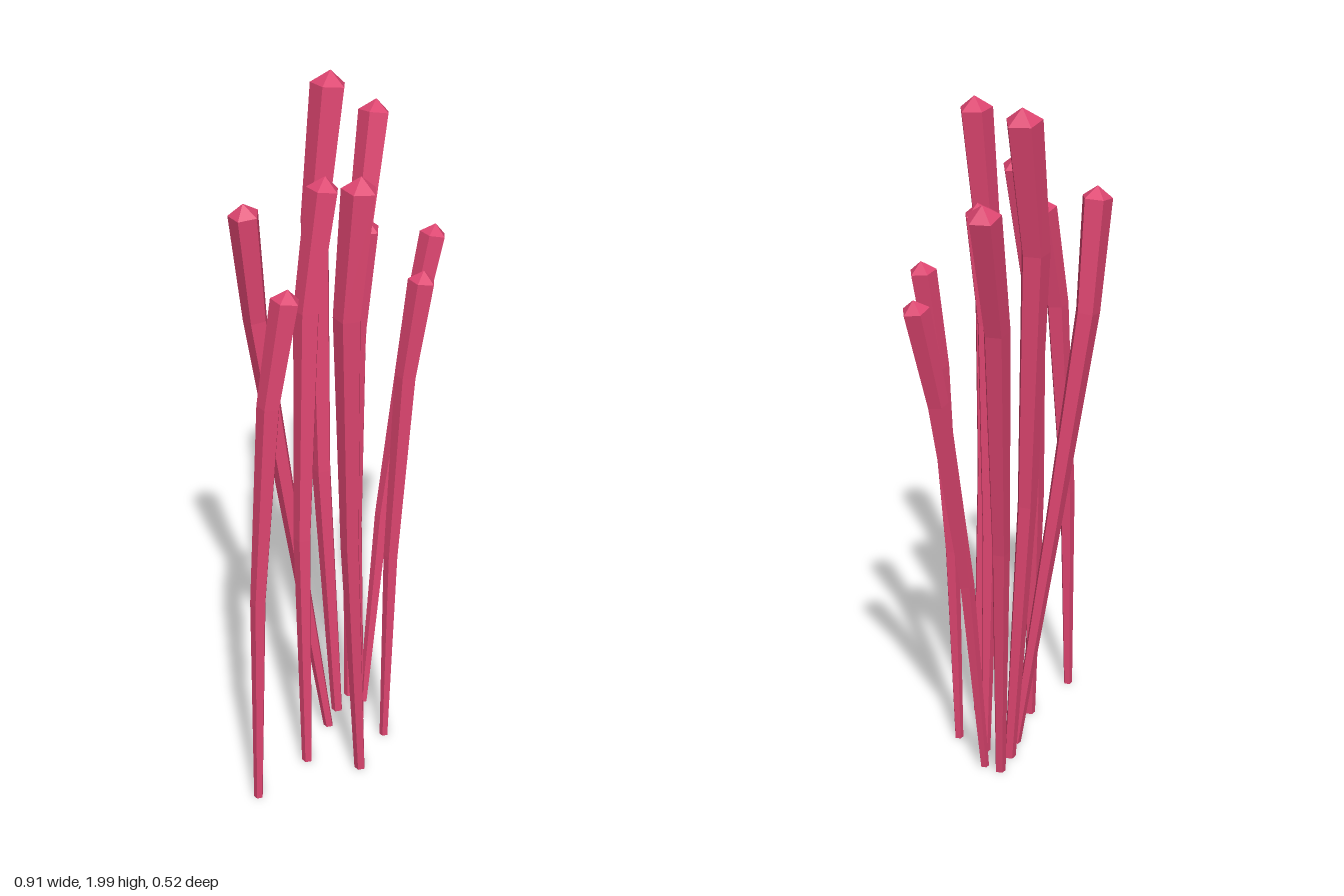
import * as THREE from 'three';

const SIDES = 5;
const UP = new THREE.Vector3(0, 1, 0);
// Share of the height, and radius relative to height, at each ring
const LEVELS = [0, 0.41, 0.79, 0.978];
const RADII = [0.0085, 0.0145, 0.021, 0.0262];

// Each stalk: height, then x,z of the centre line at the four levels
const STALKS = [
  [1.59, [-0.45, 0.02], [-0.44, 0.025], [-0.405, 0.045], [-0.357, 0.068]],
  [1.90, [-0.16, 0.165], [-0.215, 0.172], [-0.25, 0.19], [-0.225, 0.21]],
  [1.80, [-0.225, 0.02], [-0.205, -0.005], [-0.155, -0.022], [-0.094, -0.012]],
  [1.71, [-0.047, -0.04], [-0.105, -0.125], [-0.165, -0.195], [-0.2, -0.2]],
  [1.67, [0.043, 0.01], [0.01, 0.015], [-0.012, 0.033], [-0.003, 0.058]],
  [2.00, [0.035, -0.07], [0.03, -0.12], [0.062, -0.162], [0.125, -0.163]],
  [1.82, [0.12, -0.09], [0.2, -0.14], [0.31, -0.195], [0.405, -0.217]],
  [1.51, [0.12, -0.036], [0.203, -0.03], [0.305, -0.005], [0.372, 0.017]],
  [1.51, [0.017, 0.12], [0.032, 0.13], [0.064, 0.152], [0.097, 0.178]],
];

// Tapered five-sided stalk along a bent centre line, closed by a low point
function stalkGeometry([height, ...line]) {
  const centres = line.map(([x, z], i) => new THREE.Vector3(x, LEVELS[i] * height, z));
  const last = centres.length - 1;
  const positions = [];
  const index = [];
  let direction = UP;

  centres.forEach((centre, i) => {
    // Rings stand square to the line; the foot lies flat on the ground
    if (i > 0) {
      direction = centres[Math.min(i + 1, last)].clone().sub(centres[i === last ? i - 1 : i - 1]).normalize();
    }
    const turn = new THREE.Quaternion().setFromUnitVectors(UP, direction);
    for (let k = 0; k < SIDES; k++) {
      const a = (k / SIDES) * Math.PI * 2;
      const p = new THREE.Vector3(Math.sin(a), 0, Math.cos(a))
        .multiplyScalar(RADII[i] * height).applyQuaternion(turn).add(centre);
      positions.push(p.x, p.y, p.z);
    }
  });

  const tip = centres[last].clone().addScaledVector(direction, 0.75 * RADII[last] * height);
  const tipId = positions.length / 3;
  positions.push(...tip.toArray(), ...centres[0].toArray());

  for (let k = 0; k < SIDES; k++) {
    const n = (k + 1) % SIDES;
    for (let i = 0; i < last; i++) {
      const a = i * SIDES + k, b = i * SIDES + n;
      index.push(a, b, b + SIDES, a, b + SIDES, a + SIDES);
    }
    index.push(last * SIDES + k, last * SIDES + n, tipId); // pointed tip
    index.push(n, k, tipId + 1); // foot
  }

  const indexed = new THREE.BufferGeometry();
  indexed.setAttribute('position', new THREE.Float32BufferAttribute(positions, 3));
  indexed.setIndex(index);
  const geometry = indexed.toNonIndexed();
  geometry.computeVertexNormals();
  return geometry;
}

export function createModel() {
  const model = new THREE.Group();
  model.name = 'stalkCluster';
  const pink = new THREE.MeshStandardMaterial({ color: 0xdd4570 });
  pink.name = 'coralPink';

  STALKS.forEach((stalk, i) => {
    const mesh = new THREE.Mesh(stalkGeometry(stalk), pink);
    mesh.name = `stalk${i + 1}`;
    model.add(mesh);
  });
  return model;
}
